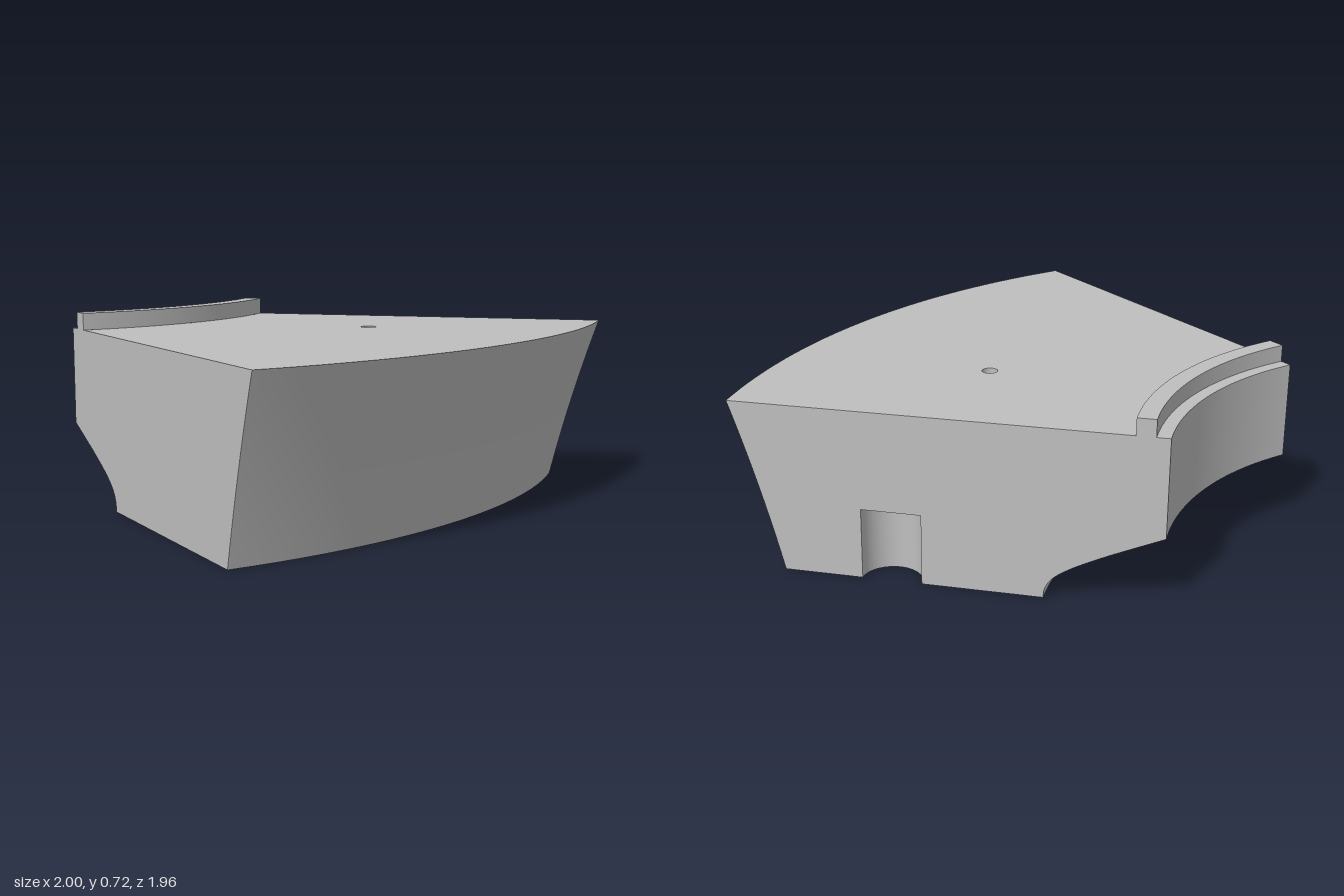
import * as THREE from 'three';

const SEG = 48;
const SWEEP = Math.PI / 4;
const OUTER = 2.828, INNER = 1.225, LIP_OUT = 1.345, LIP_IN = 1.275;
const BASE_OUT = 2.633, BASE_IN = 1.655;
const DECK = 0.655, LIP_TOP = 0.72, WALL_BOTTOM = 0.28;
const SLOT = { r: 2.22, radius: 0.113, height: 0.275 };
const HOLE = { x: 1.02, z: 1.775, radius: 0.03, depth: 0.13 };

const v = (x, y) => new THREE.Vector2(x, y);

// Turns a surface inside out
function flip(geometry) {
  geometry.index.array.reverse();
  geometry.computeVertexNormals();
  return geometry;
}

export function createModel() {
  const model = new THREE.Group();
  const wedge = new THREE.Group();
  wedge.name = 'wedgeBlock';
  wedge.position.set(-1, 0, -1.85); // the swept axis sits behind the block
  model.add(wedge);

  const grey = new THREE.MeshStandardMaterial({ color: 0xbfbfbf });
  grey.name = 'plain grey';

  const add = (name, geometry, x = 0, y = 0, z = 0) => {
    const mesh = new THREE.Mesh(geometry, grey);
    mesh.name = name;
    mesh.position.set(x, y, z);
    wedge.add(mesh);
  };
  const sweep = (name, points) => add(name, new THREE.LatheGeometry(points, SEG, 0, SWEEP));

  // Profiles in radius and height
  const outerProfile = new THREE.QuadraticBezierCurve(
    v(BASE_OUT, 0), v(2.715, 0.335), v(OUTER, DECK)).getPoints(10);
  const undercut = new THREE.SplineCurve([
    v(INNER, WALL_BOTTOM), v(1.335, 0.232), v(1.442, 0.184), v(1.555, 0.127),
    v(1.622, 0.08), v(1.65, 0.037), v(BASE_IN, 0)]).getPoints(24);

  // Curved walls
  sweep('outerWall', outerProfile);
  sweep('innerUndercut', undercut);
  sweep('innerWall', [v(INNER, DECK), v(INNER, WALL_BOTTOM)]);

  // Raised lip and its ledge, one sharp-edged strip at a time
  const rim = [v(LIP_OUT, DECK), v(LIP_OUT, LIP_TOP), v(LIP_IN, LIP_TOP), v(LIP_IN, DECK), v(INNER, DECK)];
  ['lipFront', 'lipTop', 'lipBack', 'ledge'].forEach((name, i) => sweep(name, [rim[i], rim[i + 1]]));

  // Top deck with a small round hole
  const deck = new THREE.Shape();
  deck.absarc(0, 0, OUTER, -Math.PI / 2, -Math.PI / 4, false);
  deck.absarc(0, 0, LIP_OUT, -Math.PI / 4, -Math.PI / 2, true);
  deck.closePath();
  const opening = new THREE.Path();
  opening.absarc(HOLE.x, -HOLE.z, HOLE.radius, 0, Math.PI * 2, true);
  deck.holes.push(opening);
  add('deck', new THREE.ShapeGeometry(deck, SEG).rotateX(-Math.PI / 2), 0, DECK, 0);

  // Blind hole in the deck
  add('holeWall',
    flip(new THREE.CylinderGeometry(HOLE.radius, HOLE.radius, HOLE.depth, SEG, 1, true)),
    HOLE.x, DECK - HOLE.depth / 2, HOLE.z);
  add('holeFloor', new THREE.CircleGeometry(HOLE.radius, SEG).rotateX(-Math.PI / 2),
    HOLE.x, DECK - HOLE.depth, HOLE.z);

  // Underside, with a half-round bite for the slot
  const sx = SLOT.r * Math.sin(SWEEP), sz = SLOT.r * Math.cos(SWEEP);
  const base = new THREE.Shape();
  base.absarc(0, 0, BASE_OUT, Math.PI / 4, Math.PI / 2, false);
  base.absarc(0, 0, BASE_IN, Math.PI / 2, Math.PI / 4, true);
  base.absarc(sx, sz, SLOT.radius, Math.PI * 5 / 4, Math.PI / 4, true);
  base.closePath();
  add('underside', new THREE.ShapeGeometry(base, SEG).rotateX(Math.PI / 2));

  // Half-round slot in the slanted end
  add('slotWall',
    flip(new THREE.CylinderGeometry(SLOT.radius, SLOT.radius, SLOT.height, SEG, 1, true,
      -Math.PI * 3 / 4, Math.PI)),
    sx, SLOT.height / 2, sz);
  add('slotCeiling',
    new THREE.CircleGeometry(SLOT.radius, SEG, Math.PI / 4, Math.PI).rotateX(Math.PI / 2),
    sx, SLOT.height, sz);

  // Flat ends, cut to the cross-section
  const endFace = (phi, slotPoints) => new THREE.ShapeGeometry(new THREE.Shape(
    [...outerProfile, ...rim, ...undercut, ...slotPoints])).rotateY(phi - Math.PI / 2);
  const a = SLOT.r - SLOT.radius, b = SLOT.r + SLOT.radius;
  add('straightEnd', endFace(0, []));
  add('slantedEnd', flip(endFace(SWEEP, [v(a, 0), v(a, SLOT.height), v(b, SLOT.height), v(b, 0)])));

  return model;
}
